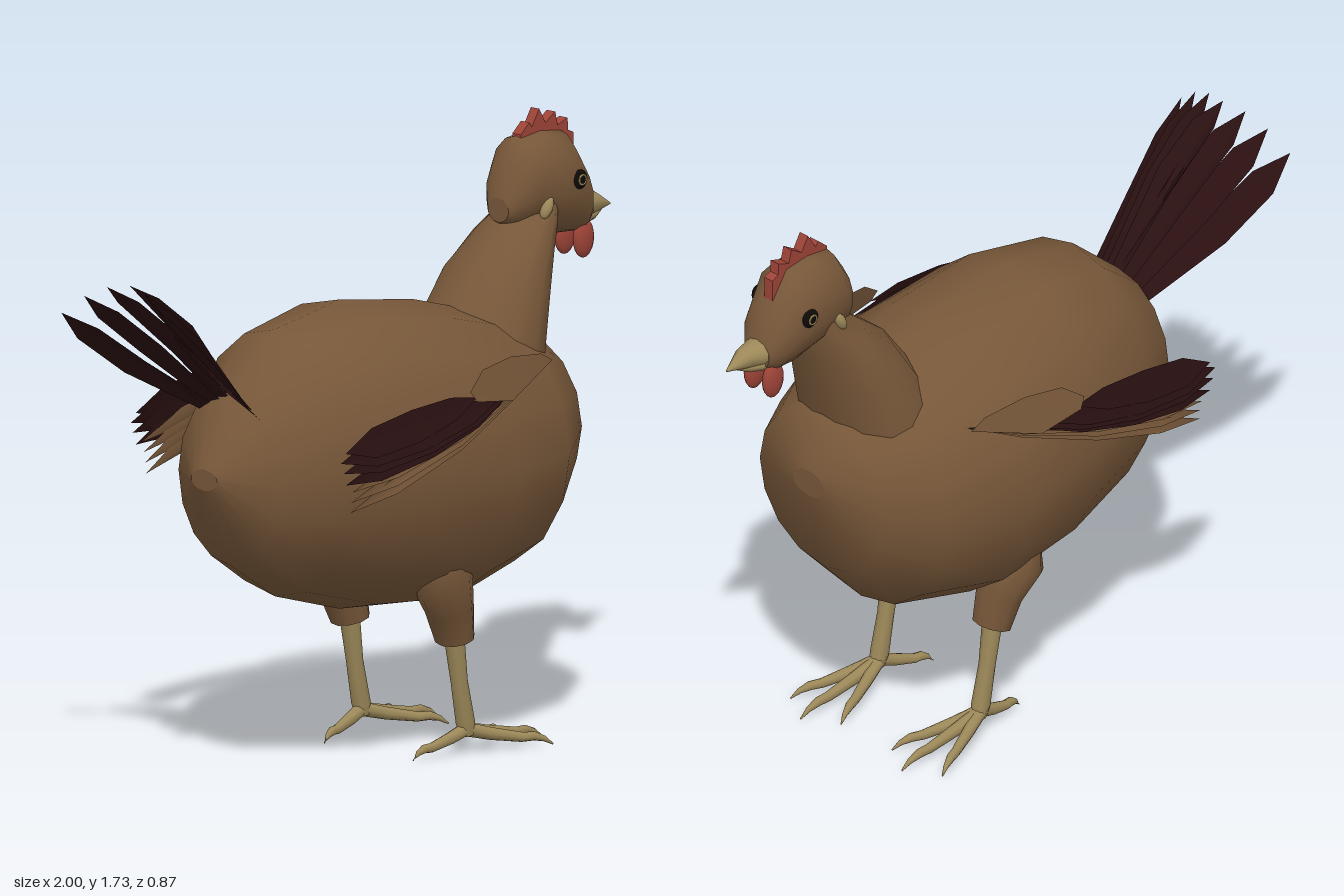
import * as THREE from 'three';

const V = (x, y, z) => new THREE.Vector3(x, y, z);
const mat = (name, color, side = THREE.FrontSide) => {
  const m = new THREE.MeshStandardMaterial({ color, side });
  m.name = name;
  return m;
};

// Ring of points around c; u cross v points along the loft.
function ring(c, u, v, n) {
  return Array.from({ length: n }, (_, j) => {
    const t = (j / n) * Math.PI * 2;
    return c.clone().addScaledVector(u, Math.cos(t)).addScaledVector(v, Math.sin(t));
  });
}

// Smooth skin through rings, closed with flat caps.
function loft(rings) {
  const n = rings[0].length, pos = [], idx = [];
  rings.forEach(r => r.forEach(p => pos.push(p.x, p.y, p.z)));
  for (let i = 0; i < rings.length - 1; i++) {
    for (let j = 0; j < n; j++) {
      const k = (j + 1) % n, a = i * n, b = a + n;
      idx.push(a + j, a + k, b + k, a + j, b + k, b + j);
    }
  }
  [rings[0], rings[rings.length - 1]].forEach((r, end) => {
    const s = pos.length / 3;
    r.forEach(p => pos.push(p.x, p.y, p.z));
    for (let j = 1; j < n - 1; j++) idx.push(s, s + (end ? j : j + 1), s + (end ? j + 1 : j));
  });
  return geo(pos, idx);
}

function geo(pos, idx) {
  const g = new THREE.BufferGeometry();
  g.setAttribute('position', new THREE.Float32BufferAttribute(pos, 3));
  g.setIndex(idx);
  g.computeVertexNormals();
  return g;
}

// Sections along x: [x, bottom, top, half width]
const hull = (rows, n) => loft(rows.map(([x, b, t, w]) =>
  ring(V(x, (b + t) / 2, 0), V(0, (t - b) / 2, 0), V(0, 0, w), n)));

// Tapered limb along points: [x, y, z, radius, second radius]
function limb(rows, n = 8) {
  const p = rows.map(r => V(r[0], r[1], r[2]));
  return loft(rows.map((r, i) => {
    const d = p[Math.min(i + 1, p.length - 1)].clone().sub(p[Math.max(i - 1, 0)]).normalize();
    const u = Math.abs(d.y) > 0.7 ? V(1, 0, 0) : V(0, 1, 0);
    u.addScaledVector(d, -u.dot(d)).normalize();
    const v = d.clone().cross(u);
    return ring(p[i], u.multiplyScalar(r[3]), v.multiplyScalar(r[4] ?? r[3]), n);
  }));
}

// Flat plate fanned from its first point
function plate(pts) {
  const idx = [];
  for (let i = 1; i < pts.length - 1; i++) idx.push(0, i, i + 1);
  return geo(pts.flatMap(p => [p.x, p.y, p.z]), idx);
}

export function createModel() {
  const model = new THREE.Group();
  model.name = 'hen';
  const brown = mat('brown plumage', 0x775739);
  const brownFeather = mat('brown feather', 0x775739, THREE.DoubleSide);
  const dark = mat('dark feather', 0x2a1011, THREE.DoubleSide);
  const horn = mat('horn', 0x9c8859);
  const red = mat('red skin', 0x9e4438);
  const black = mat('eye black', 0x0e0a08);
  const add = (name, g, m) => {
    const mesh = new THREE.Mesh(g, m);
    mesh.name = name;
    model.add(mesh);
    return mesh;
  };
  const ball = (name, m, c, s) => {
    const b = add(name, new THREE.SphereGeometry(1, 14, 10), m);
    b.position.set(...c);
    b.scale.set(...s);
    return b;
  };

  add('body', hull([
    [-0.648, 0.85, 0.91, 0.05], [-0.54, 0.62, 1.11, 0.2], [-0.36, 0.505, 1.265, 0.31],
    [-0.1, 0.43, 1.31, 0.38], [0.2, 0.405, 1.265, 0.41], [0.47, 0.47, 1.19, 0.345],
    [0.62, 0.63, 1.12, 0.25], [0.677, 0.88, 0.96, 0.06]], 16), brown);

  add('head', hull([
    [0.545, 1.43, 1.5, 0.04], [0.575, 1.41, 1.6, 0.075], [0.62, 1.41, 1.665, 0.1],
    [0.7, 1.385, 1.675, 0.107], [0.78, 1.365, 1.665, 0.105], [0.85, 1.36, 1.56, 0.08],
    [0.88, 1.38, 1.47, 0.05]], 14), brown);

  // Neck sections: back x, y, front x, y, half width, sag of the sides
  add('neck', loft([
    [0.33, 1.22, 0.615, 1.1, 0.21, 0.06], [0.42, 1.335, 0.655, 1.22, 0.175, 0.02],
    [0.53, 1.415, 0.69, 1.33, 0.135, 0], [0.62, 1.47, 0.715, 1.41, 0.105, 0],
    [0.65, 1.53, 0.73, 1.49, 0.085, 0]].map(([bx, by, fx, fy, w, sag]) => {
    const r = ring(V((bx + fx) / 2, (by + fy) / 2, 0), V(0, 0, w), V((fx - bx) / 2, (fy - by) / 2, 0), 14);
    r.forEach(p => { p.y -= sag * Math.abs(p.z / w); });
    return r;
  })), brown);

  add('upperBeak', limb([[0.865, 1.43, 0, 0.042, 0.052], [0.93, 1.43, 0, 0.03, 0.034], [1, 1.415, 0, 0.002]], 10), horn);
  add('lowerBeak', limb([[0.865, 1.395, 0, 0.025, 0.04], [0.92, 1.4, 0, 0.017, 0.026], [0.97, 1.41, 0, 0.002]], 10), horn);

  const combShape = new THREE.Shape([
    [0.62, 1.63], [0.62, 1.67], [0.655, 1.7], [0.665, 1.685], [0.695, 1.733], [0.72, 1.69],
    [0.76, 1.715], [0.77, 1.675], [0.81, 1.69], [0.812, 1.655], [0.835, 1.645], [0.835, 1.57], [0.77, 1.62]
  ].map(p => new THREE.Vector2(...p)));
  add('comb', new THREE.ExtrudeGeometry(combShape, { depth: 0.032, bevelEnabled: false }).translate(0, 0, -0.016), red);

  // Tail fan
  for (let i = -3; i <= 3; i++) {
    const t = i / 3, a = Math.abs(t);
    const root = V(-0.53, 1.1 - 0.045 * a, 0.09 * t);
    const tip = V(-0.95 - 0.05 * a, 1.48 - 0.1 * t * t, 0.215 * t);
    const at = (k, w) => root.clone().lerp(tip, k)
      .add(V(0, (0.05 - 0.07 * a) * Math.sin(k * Math.PI) - 0.5 * t * w, w));
    add('tailFeather', plate([at(0, 0), at(0, -0.022), at(0.5, -0.042), at(0.82, -0.04),
      at(1, 0), at(0.82, 0.04), at(0.5, 0.042), at(0, 0.022)]), dark);
  }

  for (const s of [1, -1]) {
    // Face details
    ball('wattle', red, [0.853, 1.345, 0.036 * s], [0.038, 0.057, 0.02]);
    ball('earlobe', horn, [0.645, 1.47, 0.092 * s], [0.016, 0.034, 0.018]).rotation.z = -0.5;
    ball('eye', black, [0.77, 1.533, 0.1 * s], [0.028, 0.028, 0.014]);
    const iris = add('iris', new THREE.TorusGeometry(0.014, 0.003, 6, 16), horn);
    iris.position.set(0.77, 1.533, 0.112 * s);

    // Wing, laid on a gently curved surface beside the body
    const on = (x, y, lift) =>
      V(x, y, s * (0.418 + lift - 0.3 * Math.max(0, y - 0.95) - 0.2 * (x + 0.1) ** 2));
    const feather = (name, m, [rx, ry], [tx, ty], w, lift) => {
      const at = (k, o) => on(rx + (tx - rx) * k, ry + (ty - ry) * k + o * w, lift);
      add(name, plate([at(0.45, 0), at(0, 0), at(0.2, -0.35), at(0.5, -0.5), at(0.8, -0.45),
        at(1, 0), at(0.8, 0.45), at(0.5, 0.5), at(0.2, 0.35), at(0, 0)]), m);
    };
    for (let i = 0; i < 4; i++) {
      feather('wingUnderFeather', brownFeather, [0.38, 1.11], [-0.47, 0.815 + 0.03 * i], 0.06, 0.004 * i);
    }
    [[0.15, 1.04, -0.5, 0.9, 0.07], [0.15, 1.045, -0.51, 0.935, 0.08],
      [0.12, 1.05, -0.52, 0.965, 0.09], [0.03, 1.07, -0.5, 0.99, 0.09]].forEach(([rx, ry, tx, ty, w], i) =>
      feather('wingFlightFeather', dark, [rx, ry], [tx, ty], w, 0.016 + 0.004 * i));
    add('wingShoulder', plate([[0.2, 1.1], [0.39, 1.115], [0.34, 1.14], [0.2, 1.155], [0.07, 1.14],
      [0, 1.09], [0.02, 1.06], [0.17, 1.04], [0.39, 1.115]].map(([x, y]) => on(x, y, 0.034))), brownFeather);

    // Leg and foot
    const z = 0.2 * s;
    add('thigh', limb([[0.06, 0.58, 0.225 * s, 0.05, 0.06], [0.085, 0.52, 0.22 * s, 0.09, 0.085],
      [0.13, 0.43, 0.205 * s, 0.07, 0.07], [0.157, 0.335, z, 0.053, 0.06]], 10), brown);
    add('shank', limb([[0.15, 0.37, z, 0.03], [0.175, 0.21, z, 0.024], [0.2, 0.09, z, 0.027], [0.21, 0.055, z, 0.022]]), horn);
    const toe = (name, dx, dz) => {
      const at = (k, y, r) => [0.2 + dx * k, y, z + dz * k, r];
      add(name, limb([at(0, 0.07, 0.02), at(0.3, 0.05, 0.018), at(0.65, 0.032, 0.014),
        at(0.78, 0.032, 0.013), at(0.9, 0.022, 0.008), at(1, 0.004, 0.002)]), horn);
    };
    toe('middleToe', 0.31, 0);
    toe('outerToe', 0.25, 0.1 * s);
    toe('innerToe', 0.25, -0.1 * s);
    toe('hindToe', -0.18, -0.03 * s);
  }
  return model;
}
